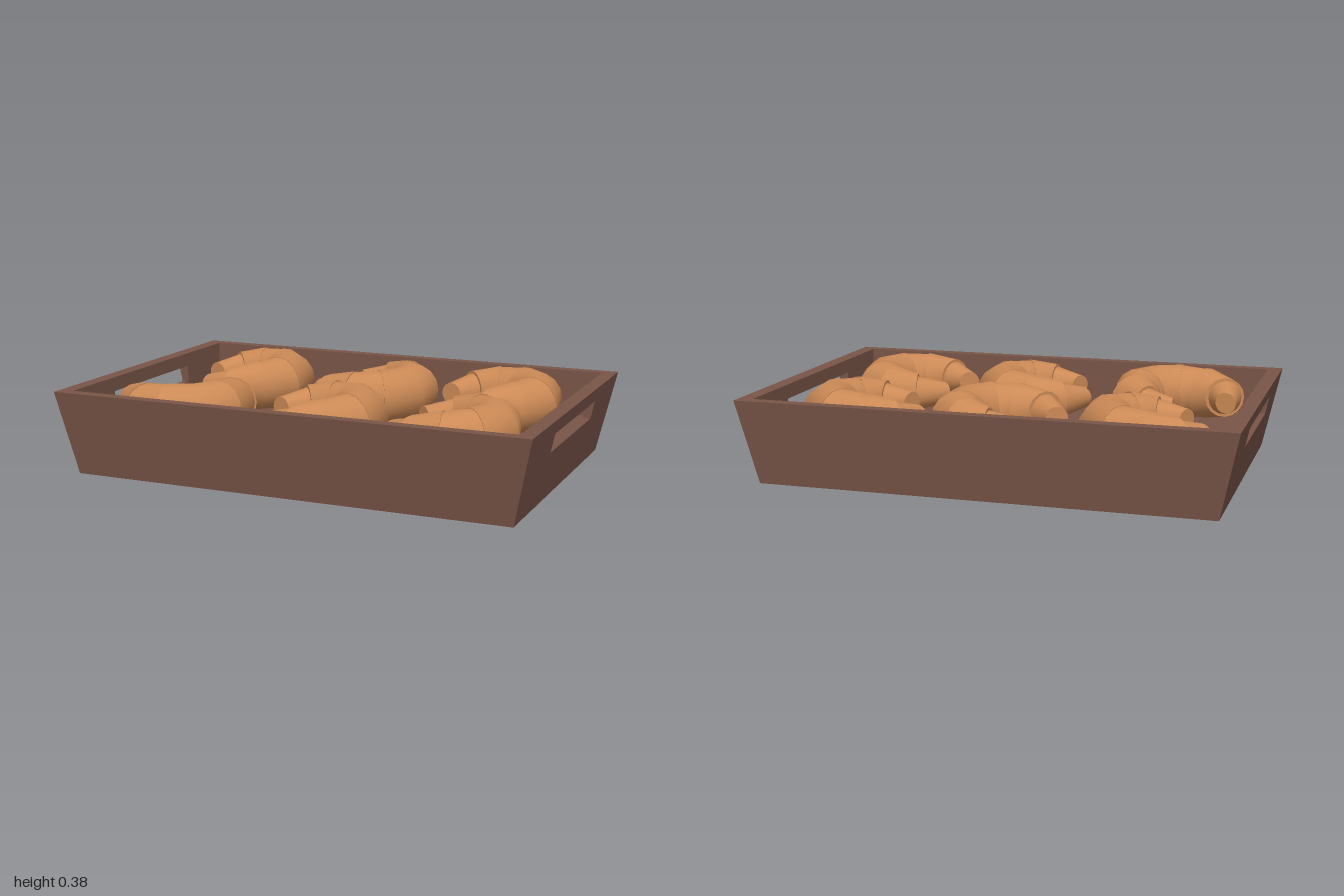
import * as THREE from 'three';
import { mergeGeometries } from 'three/addons/utils/BufferGeometryUtils.js';

const HEIGHT = 0.345, FLOOR = 0.15, INNER_X = 0.94, INNER_Z = 0.615;
const outerX = y => 0.925 + 0.075 * y / HEIGHT;
const outerZ = y => 0.615 + 0.05 * y / HEIGHT;

// Move every vertex of a geometry by a rule and refresh the flat normals
function reshape(geo, rule) {
  const p = geo.attributes.position, v = new THREE.Vector3();
  for (let i = 0; i < p.count; i++) {
    rule(v.fromBufferAttribute(p, i));
    p.setXYZ(i, v.x, v.y, v.z);
  }
  geo.computeVertexNormals();
  return geo;
}

// Solid base, tapering down to the underside
function baseGeometry() {
  return reshape(new THREE.BoxGeometry(2, 1, 2), v => {
    v.y = v.y > 0 ? FLOOR : 0;
    v.x *= outerX(v.y);
    v.z *= outerZ(v.y);
  });
}

// Long wall: upright inside, sloping outside
function longWallGeometry() {
  return reshape(new THREE.BoxGeometry(2 * INNER_X, 1, 1), v => {
    v.y = v.y > 0 ? HEIGHT : FLOOR;
    v.z = v.z > 0 ? outerZ(v.y) : INNER_Z;
  });
}

// End wall with a rectangular handle slot
function endWallGeometry() {
  const polygon = pts => pts.map(([x, y]) => new THREE.Vector2(x, y));
  const lo = outerZ(FLOOR), hi = outerZ(HEIGHT);
  const shape = new THREE.Shape(polygon([[-lo, FLOOR], [lo, FLOOR], [hi, HEIGHT], [-hi, HEIGHT]]));
  shape.holes.push(new THREE.Path(polygon([[-0.31, 0.21], [-0.31, 0.285], [0.31, 0.285], [0.31, 0.21]])));
  const geo = new THREE.ExtrudeGeometry(shape, { depth: 1, bevelEnabled: false });
  return reshape(geo, v => {
    const x = THREE.MathUtils.lerp(INNER_X, outerX(v.y), v.z);
    v.set(x, v.y, -v.x);
  });
}

// One rolled layer of pastry; rings are [angle in degrees, path radius, thickness radius]
function layerGeometry(rings, sides = 16) {
  const pos = [], index = [];
  const addRing = ([deg, path, r]) => {
    const a = THREE.MathUtils.degToRad(deg), start = pos.length / 3;
    for (let i = 0; i < sides; i++) {
      const t = i / sides * Math.PI * 2, d = path + r * Math.cos(t);
      pos.push(d * Math.cos(a), r * Math.sin(t), d * Math.sin(a));
    }
    return start;
  };
  const starts = rings.map(addRing);
  for (let k = 0; k < rings.length - 1; k++) {
    for (let i = 0; i < sides; i++) {
      const j = (i + 1) % sides, a = starts[k], b = starts[k + 1];
      index.push(a + i, a + j, b + i, a + j, b + j, b + i);
    }
  }
  // Flat ends
  const first = addRing(rings[0]), last = addRing(rings[rings.length - 1]);
  for (let i = 1; i < sides - 1; i++) {
    index.push(first, first + i + 1, first + i, last, last + i, last + i + 1);
  }
  const geo = new THREE.BufferGeometry();
  geo.setAttribute('position', new THREE.Float32BufferAttribute(pos, 3));
  geo.setIndex(index);
  geo.computeVertexNormals();
  return geo;
}

// Curved pastry: a thick middle and three narrowing layers towards each tip
function pastryGeometry() {
  const side = [
    [[37, 0.173, 0.115], [75, 0.18, 0.106]],
    [[74, 0.182, 0.11], [110, 0.205, 0.085]],
    [[108, 0.208, 0.075], [143, 0.215, 0.045]],
  ];
  const mirrored = side.map(l => l.map(([a, p, r]) => [-a, p, r]).reverse());
  const middle = [[-38, 0.173, 0.117], [0, 0.17, 0.117], [38, 0.173, 0.117]];
  return mergeGeometries([...mirrored, middle, ...side].map(l => layerGeometry(l)));
}

export function createModel() {
  const model = new THREE.Group();
  const wood = new THREE.MeshStandardMaterial({ name: 'brown wood', color: 0x795548 });
  const crust = new THREE.MeshStandardMaterial({ name: 'golden crust', color: 0xcc8a56 });
  const add = (parent, name, geo, mat) => {
    const mesh = new THREE.Mesh(geo, mat);
    mesh.name = name;
    parent.add(mesh);
    return mesh;
  };

  const tray = new THREE.Group();
  tray.name = 'tray';
  model.add(tray);
  add(tray, 'trayBase', baseGeometry(), wood);
  const longWall = longWallGeometry(), endWall = endWallGeometry();
  for (const turn of [0, Math.PI]) {
    add(tray, turn ? 'backWall' : 'frontWall', longWall, wood).rotation.y = turn;
    add(tray, turn ? 'rightHandleWall' : 'leftHandleWall', endWall, wood).rotation.y = turn;
  }

  // Two rows of three pastries: x, z, facing in degrees
  const pastry = pastryGeometry();
  const places = [
    [-0.6, -0.3, -22], [0, -0.29, 19], [0.56, -0.3, -26],
    [-0.6, 0.29, 48], [0, 0.28, -17], [0.56, 0.28, 5],
  ];
  places.forEach(([x, z, deg], i) => {
    const mesh = add(model, `pastry${i + 1}`, pastry, crust);
    mesh.position.set(x, 0.258, z);
    mesh.rotation.y = -THREE.MathUtils.degToRad(deg);
  });
  return model;
}
